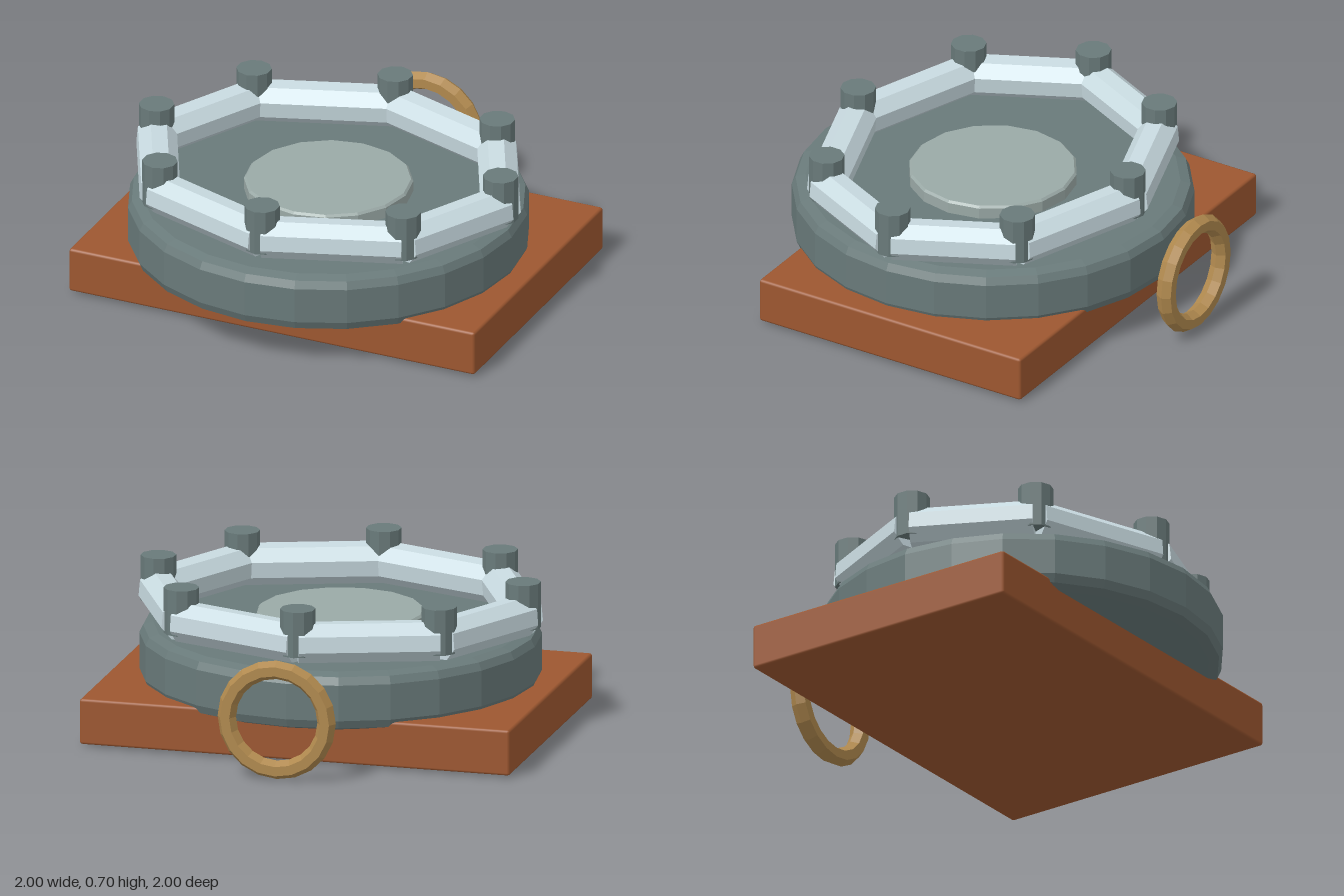
import * as THREE from 'three';
import { RoundedBoxGeometry } from 'three/addons/geometries/RoundedBoxGeometry.js';

const material = (name, color) => {
  const m = new THREE.MeshStandardMaterial({ color });
  m.name = name;
  return m;
};

// Faceted normals for the low-poly parts
const faceted = (geometry) => {
  const g = geometry.index ? geometry.toNonIndexed() : geometry;
  g.computeVertexNormals();
  return g;
};

// Faceted turned part from [radius, height] points
const turned = (points, sides) =>
  faceted(new THREE.LatheGeometry(points.map(([r, y]) => new THREE.Vector2(r, y)), sides));

export function createModel() {
  const model = new THREE.Group();
  model.name = 'hatch';

  const wood = material('brown wood', 0x9d5730);
  const iron = material('dark slate', 0x697a7a);
  const steel = material('pale steel', 0xc8dae0);
  const stone = material('grey plate', 0x9aa9a6);
  const brass = material('brass', 0xb0894e);

  const add = (name, geometry, mat, x, y, z, parent = model) => {
    const mesh = new THREE.Mesh(geometry, mat);
    mesh.name = name;
    mesh.position.set(x, y, z);
    parent.add(mesh);
    return mesh;
  };

  const cz = 0.097; // centre of the round parts

  // Rectangular base slab
  add('base', new RoundedBoxGeometry(2, 0.21, 1.38, 1, 0.012), wood, 0, 0.115, 0.018);

  // Large disc with bevelled rims
  add('disc', turned([
    [0, 0.181], [0.84, 0.181], [0.885, 0.197], [0.902, 0.235],
    [0.902, 0.4], [0.885, 0.435], [0.84, 0.45], [0, 0.45],
  ], 24), iron, 0, 0, cz);

  // Raised centre plate
  add('centrePlate', turned(
    [[0, 0.44], [0.38, 0.44], [0.38, 0.5], [0.37, 0.51], [0, 0.51]], 16
  ), stone, 0, 0, cz);

  // Oval rail of eight straight bars with a stud at each joint
  const rail = new THREE.Group();
  rail.name = 'rail';
  model.add(rail);
  const joint = (i) => {
    const a = (i * Math.PI) / 4;
    return new THREE.Vector3(0.848 * Math.sin(a), 0.542, cz + 0.712 * Math.cos(a));
  };
  const studGeometry = faceted(new THREE.CylinderGeometry(0.08, 0.08, 0.21, 10));
  const down = new THREE.Vector3(0, -1, 0);
  for (let i = 0; i < 8; i++) {
    const a = joint(i);
    const b = joint(i + 1);
    const along = b.clone().sub(a);
    const length = along.length();
    along.normalize();
    const outward = new THREE.Vector3().crossVectors(down, along);

    // Octagonal bar, rolled slightly about its own axis
    const bar = new THREE.CylinderGeometry(0.095, 0.095, length, 8);
    bar.rotateY(THREE.MathUtils.degToRad(17));
    const mid = a.clone().add(b).multiplyScalar(0.5);
    add('railBar', faceted(bar), steel, mid.x, mid.y, mid.z, rail)
      .quaternion.setFromRotationMatrix(new THREE.Matrix4().makeBasis(down, along, outward));

    add('stud', studGeometry, iron, a.x, 0.595, a.z, rail);
  }

  // Brass ring standing behind the slab
  add('ring', faceted(new THREE.TorusGeometry(0.232, 0.043, 6, 20)), brass, 0, 0.275, -0.962);

  return model;
}
